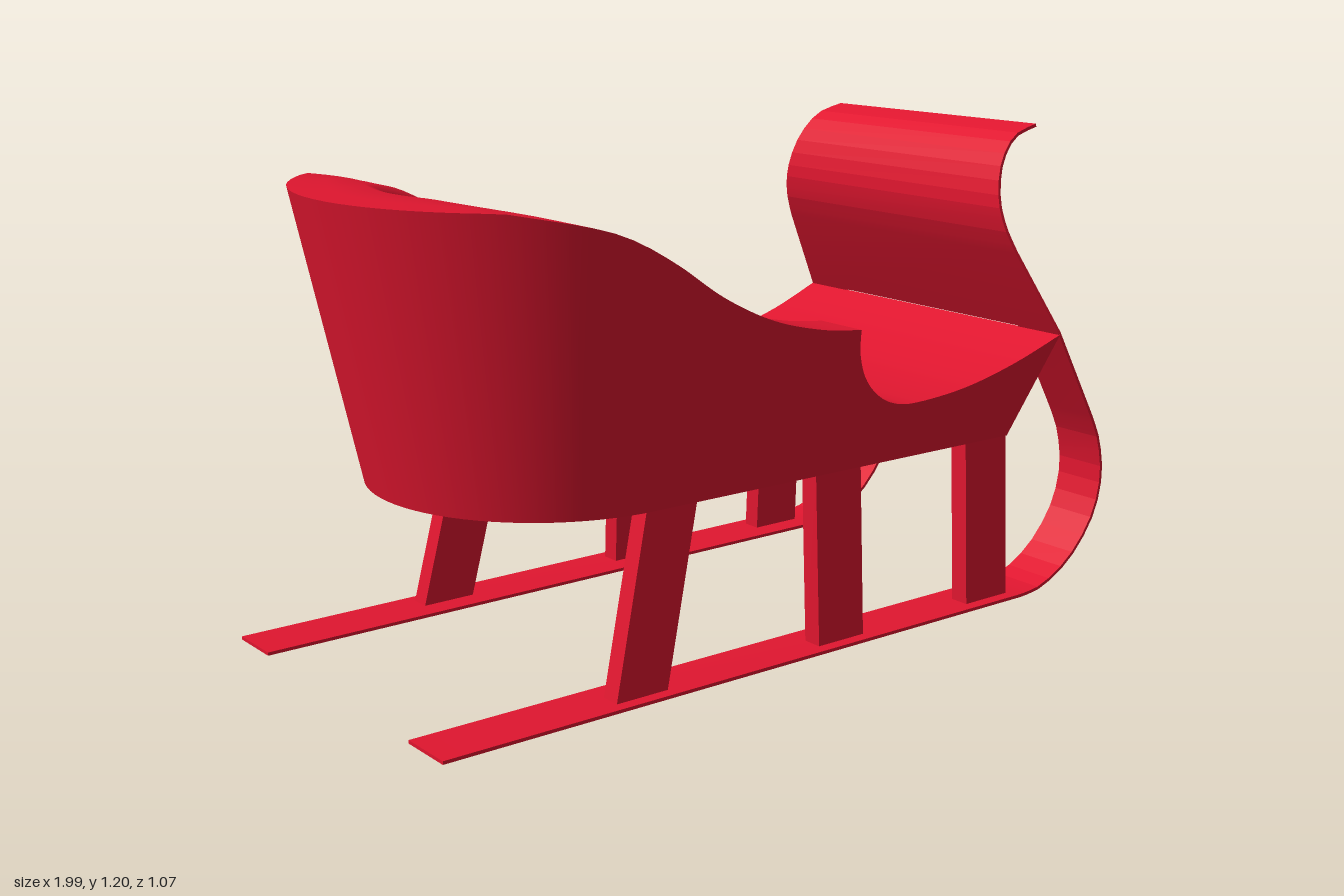
import * as THREE from 'three';
import { toCreasedNormals } from 'three/addons/utils/BufferGeometryUtils.js';

const V = (x, y, z) => new THREE.Vector3(x, y, z);
const RED = 0xe0162f;
const BASE = 0.43;   // underside of the body
const SEAM = -0.13;  // where the seat meets the foot well
const HALF = 0.425;  // half width at the underside

// Skin closed rings of points; caps are signs of x that the end faces look to (0 = open).
function loft(rings, startCap = 0, endCap = 0, crease = 0.6) {
  const pos = [];
  const tri = (a, b, c) => {
    const n = b.clone().sub(a).cross(c.clone().sub(a));
    if (n.length() > 1e-9) for (const p of [a, b, c]) pos.push(p.x, p.y, p.z);
    return n;
  };
  for (let i = 0; i + 1 < rings.length; i++) {
    const r = rings[i], s = rings[i + 1], n = r.length;
    for (let j = 0; j < n; j++) {
      const k = (j + 1) % n;
      tri(r[j], r[k], s[k]);
      tri(r[j], s[k], s[j]);
    }
  }
  const cap = (ring, sign) => {
    if (!sign) return;
    const flat = ring.map((p) => new THREE.Vector2(p.z, p.y));
    for (const [a, b, c] of THREE.ShapeUtils.triangulateShape(flat, [])) {
      const A = ring[a], B = ring[b], C = ring[c];
      const nx = (B.y - A.y) * (C.z - A.z) - (B.z - A.z) * (C.y - A.y);
      if (nx * sign > 0) tri(A, B, C); else tri(A, C, B);
    }
  };
  cap(rings[0], startCap);
  cap(rings[rings.length - 1], endCap);
  const g = new THREE.BufferGeometry();
  g.setAttribute('position', new THREE.Float32BufferAttribute(pos, 3));
  return toCreasedNormals(g, crease);
}

function spline(pairs, count) {
  return new THREE.SplineCurve(pairs.map(([x, y]) => new THREE.Vector2(x, y))).getPoints(count);
}

// Height of the rim along the length
const rim = spline([[-0.8, 1.12], [-0.6, 1.075], [-0.45, 1.0], [-0.3, 0.905],
  [-0.15, 0.835], [0, 0.795], [0.12, 0.78]], 60);
function rimY(x) {
  if (x <= rim[0].x) return rim[0].y;
  for (let i = 1; i < rim.length; i++) {
    const a = rim[i - 1], b = rim[i];
    if (x <= b.x) return a.y + (b.y - a.y) * (x - a.x) / (b.x - a.x);
  }
  return 0.78;
}

// Rounded rear shell with the hollow seat, swept round a U
function seatShell() {
  const seatY = 0.69, cx = -0.425, stations = [];
  const straight = 12, turn = 40;
  const side = (i) => SEAM + (cx - SEAM) * i / straight;
  for (let i = 0; i < straight; i++) stations.push([side(i), 0]);
  for (let i = 0; i <= turn; i++) stations.push([cx, Math.PI * i / turn]);
  for (let i = straight - 1; i >= 0; i--) stations.push([side(i), Math.PI]);
  // inner wall: distance from the middle, fraction of the rim height
  const inner = [[0.4, 1], [0.38, 0.985], [0.355, 0.93], [0.335, 0.82], [0.315, 0.6],
    [0.295, 0.35], [0.275, 0.16], [0.25, 0.05], [0.215, 0]];
  const rings = stations.map(([sx, ang]) => {
    const nx = -Math.sin(ang), nz = Math.cos(ang);
    const at = (r, y) => V(sx + nx * r, y, nz * r);
    const flare = 0.19 + 0.027 * Math.abs(nx);
    let y = 1, r = HALF;
    for (let k = 0; k < 12; k++) {
      r = HALF + flare * (y - BASE);
      y = rimY(sx + nx * r);
    }
    // the padding thins out towards the front opening
    const open = Math.max(0, 1 - (SEAM - sx) / 0.13);
    const ease = 0.05 * open * open;
    const lipY = rimY(sx + nx * 0.4);
    const rows = inner.map(([d, f]) => at(d + ease * (1 - f * 0.8), seatY + (lipY - seatY) * f));
    return [at(0, BASE), at(HALF, BASE), at(r, y), at((r + 0.4) / 2, rimY(sx + nx * (r + 0.4) / 2)),
      ...rows, at(0, seatY)];
  });
  return loft(rings, 1, 1, 0.7);
}

// Front of the body: rim ends, sunken foot well and curved nose
function frontBody() {
  const cols = [];
  for (let i = 0; i <= 10; i++) {
    const x = SEAM + (0.12 - SEAM) * i / 10;
    cols.push([x, rimY(x)]);
  }
  const nose = spline([[0.12, 0.775], [0.128, 0.72], [0.155, 0.66], [0.2, 0.612], [0.26, 0.58],
    [0.34, 0.57], [0.5, 0.585], [0.66, 0.625], [0.81, 0.68]], 40);
  for (const p of nose) cols.push([p.x, p.y]);
  const rings = cols.map(([x, h]) => {
    const f = x < 0.22 ? Math.min(h, 0.65 - 0.14 * (x - SEAM)) : h;
    const bx = Math.min(x, 0.68);
    const w = HALF + 0.19 * (h - BASE);
    const wi = 0.32 + 0.2 * (h - f);
    const half = [V(bx, BASE, HALF), V(x, h, w), V(x, h, wi), V(x, f, 0.32)];
    return [...half.map((p) => V(p.x, p.y, -p.z)), ...half.reverse()];
  });
  return loft(rings, -1, 1, 0.45);
}

// Thin strip along a side-on path; edges(p) gives its two z limits
function ribbon(path, edges) {
  const t = 0.004;
  const rings = path.map((p, i) => {
    const d = path[Math.min(i + 1, path.length - 1)].clone().sub(path[Math.max(i - 1, 0)]).normalize();
    const nx = -d.y * t, ny = d.x * t, [z0, z1] = edges(p);
    return [V(p.x + nx, p.y + ny, z0), V(p.x + nx, p.y + ny, z1),
      V(p.x - nx, p.y - ny, z1), V(p.x - nx, p.y - ny, z0)];
  });
  return loft(rings, -1, 1, 0.12);
}

// Flat leg plate between runner and body
function leg(x0, x1, lean, s) {
  const ring = (y, dx, zo) => {
    const a = s * zo, b = s * (zo - 0.05), z0 = Math.min(a, b), z1 = Math.max(a, b);
    return [V(x0 + dx, y, z0), V(x0 + dx, y, z1), V(x1 + dx, y, z1), V(x1 + dx, y, z0)];
  };
  return loft([ring(0.008, 0, 0.44), ring(BASE + 0.005, lean, 0.42)]);
}

export function createModel() {
  const group = new THREE.Group();
  const material = new THREE.MeshStandardMaterial({ color: RED, side: THREE.DoubleSide });
  const add = (name, geometry) => {
    const mesh = new THREE.Mesh(geometry, material);
    mesh.name = name;
    group.add(mesh);
  };

  add('seatShell', seatShell());
  add('frontBody', frontBody());

  // Runners curl up at the front and meet the dashboard
  const runnerPath = [new THREE.Vector2(-1, 0.006), ...spline([[0.7, 0.014], [0.78, 0.025], [0.88, 0.08],
    [0.96, 0.175], [0.99, 0.28], [0.975, 0.38], [0.94, 0.455]], 14), new THREE.Vector2(0.81, 0.684)];
  for (const s of [1, -1]) {
    const label = s > 0 ? 'left' : 'right';
    add(label + 'Runner', ribbon(runnerPath, () => (s > 0 ? [0.33, 0.47] : [-0.47, -0.33])));
    add(label + 'RearLeg', leg(-0.54, -0.4, 0.1, s));
    add(label + 'MiddleLeg', leg(0.05, 0.19, 0, s));
    add(label + 'FrontLeg', leg(0.54, 0.68, 0, s));
  }

  // Curled dashboard, narrowing towards the top
  const dashPath = [new THREE.Vector2(0.81, 0.684), ...spline([[0.69, 0.895], [0.662, 0.96], [0.653, 1.03],
    [0.675, 1.11], [0.73, 1.172], [0.81, 1.196]], 12)];
  add('dashboard', ribbon(dashPath, (p) => {
    const w = 0.47 - 0.105 * (p.y - 0.684) / 0.512;
    return [-w, w];
  }));

  return group;
}
